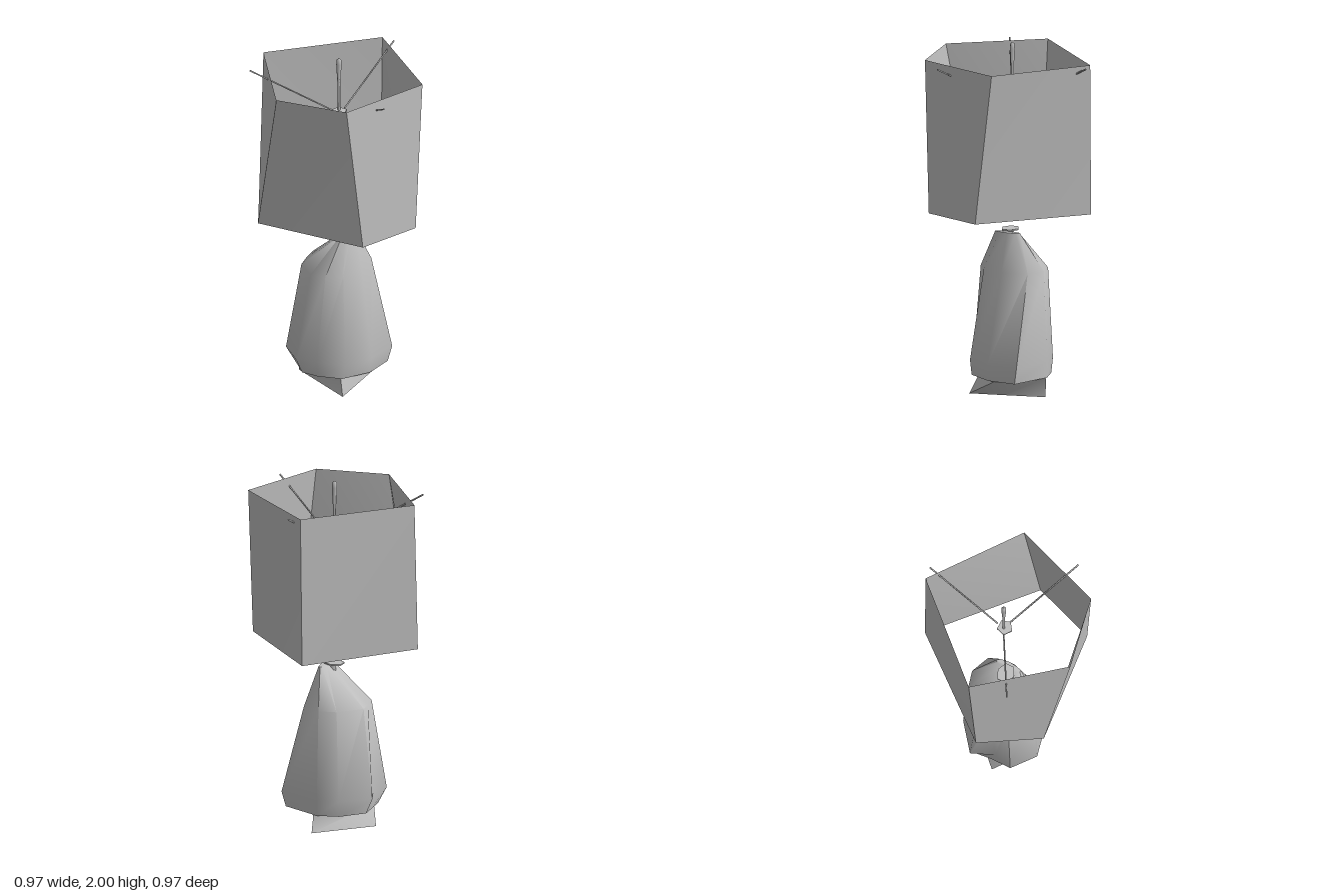
import * as THREE from 'three';
import { toCreasedNormals } from 'three/addons/utils/BufferGeometryUtils.js';

const CREASE = 1.05;

// Joins rings of [x, z] points at rising heights; caps are optional.
function loft(rings, heights, capped) {
  const n = rings[0].length;
  const pos = [];
  const index = [];
  rings.forEach((ring, k) => ring.forEach(([x, z]) => pos.push(x, heights[k], z)));
  for (let k = 0; k < rings.length - 1; k++) {
    for (let i = 0; i < n; i++) {
      const j = (i + 1) % n;
      const a = k * n + i, b = k * n + j, c = a + n, d = b + n;
      index.push(a, b, d, a, d, c);
    }
  }
  if (capped) {
    const top = (rings.length - 1) * n;
    for (let i = 1; i < n - 1; i++) {
      index.push(0, i + 1, i, top, top + i, top + i + 1);
    }
  }
  const g = new THREE.BufferGeometry();
  g.setAttribute('position', new THREE.Float32BufferAttribute(pos, 3));
  g.setIndex(index);
  return toCreasedNormals(g, CREASE);
}

export function createModel() {
  const group = new THREE.Group();
  const grey = new THREE.MeshStandardMaterial({ color: 0xbfbfbf, side: THREE.DoubleSide });
  grey.name = 'plain grey';

  function add(name, geometry) {
    const mesh = new THREE.Mesh(geometry, grey);
    mesh.name = name;
    group.add(mesh);
    return mesh;
  }

  // Thin straight rod between two points
  function rod(name, from, to, r0, r1, sides) {
    const a = new THREE.Vector3(...from), b = new THREE.Vector3(...to);
    const mesh = add(name, new THREE.CylinderGeometry(r1, r0, a.distanceTo(b), sides));
    mesh.position.copy(a).add(b).multiplyScalar(0.5);
    mesh.quaternion.setFromUnitVectors(new THREE.Vector3(0, 1, 0), b.sub(a).normalize());
  }

  // Five-sided open shade, slightly twisted
  add('shade', loft([
    [[-0.29, 0.40], [0.36, 0.34], [0.485, -0.015], [-0.03, -0.475], [-0.485, 0.075]],
    [[-0.12, 0.48], [0.29, 0.40], [0.47, -0.11], [-0.02, -0.475], [-0.485, 0.03]],
  ], [1.06, 1.915], false));

  // Irregular body, widest near its foot and closing to a ridge on one side
  add('body', loft([
    [[-0.10, 0.24], [0, 0.235], [0.13, 0.19], [0.22, 0.04], [0.23, -0.13],
      [0, -0.215], [-0.12, -0.18], [-0.23, -0.06], [-0.22, 0.04], [-0.21, 0.14]],
    [[-0.12, 0.272], [0, 0.245], [0.15, 0.19], [0.23, 0.04], [0.247, -0.15],
      [0, -0.215], [-0.12, -0.19], [-0.273, -0.07], [-0.22, 0.06], [-0.25, 0.17]],
    [[-0.07, 0.20], [0.02, 0.19], [0.10, 0.13], [0.14, 0], [0.11, -0.15],
      [0, -0.195], [-0.10, -0.17], [-0.21, -0.05], [-0.20, 0.03], [-0.18, 0.12]],
    [[0.045, 0.08], [0.058, 0.08], [0.065, 0.05], [0.072, 0], [0.065, -0.05],
      [0.048, -0.07], [0.04, -0.06], [0.03, -0.02], [0.03, 0.02], [0.035, 0.06]],
  ], [0.105, 0.195, 0.71, 0.925], true));

  // Skewed foot
  add('foot', loft([
    [[0.14, 0.20], [0.09, 0], [0.03, -0.22], [-0.24, 0.05]],
    [[0.10, 0.16], [0.22, 0], [0.02, -0.22], [-0.19, 0.13]],
  ], [0, 0.105], true));

  // Small collar on top of the body
  const collar = add('collar', new THREE.CylinderGeometry(0.05, 0.05, 0.008, 6));
  collar.position.set(0, 0.933, 0.015);
  collar.scale.x = 1.2;
  rod('neckPin', [0.005, 0.85, 0.01], [0.005, 0.93, 0.01], 0.015, 0.015, 5);

  // Three spokes rising from the centre to the rim
  for (const [x, z] of [[0.05, -0.485], [-0.44, 0.245], [0.44, 0.245]]) {
    rod('spoke', [x * 0.08, 1.67, z * 0.08], [x, 1.908, z], 0.005, 0.005, 4);
  }
  const hub = add('spokeHub', new THREE.CylinderGeometry(0.045, 0.045, 0.01, 5));
  hub.position.set(0, 1.67, 0.01);

  // Slim finial, wider near its tip
  const finial = add('finial', new THREE.LatheGeometry([
    [0, 1.67], [0.008, 1.67], [0.009, 1.85], [0.015, 1.96], [0.013, 1.99], [0, 2],
  ].map(([x, y]) => new THREE.Vector2(x, y)), 6));
  finial.position.set(-0.006, 0, 0.005);

  return group;
}
